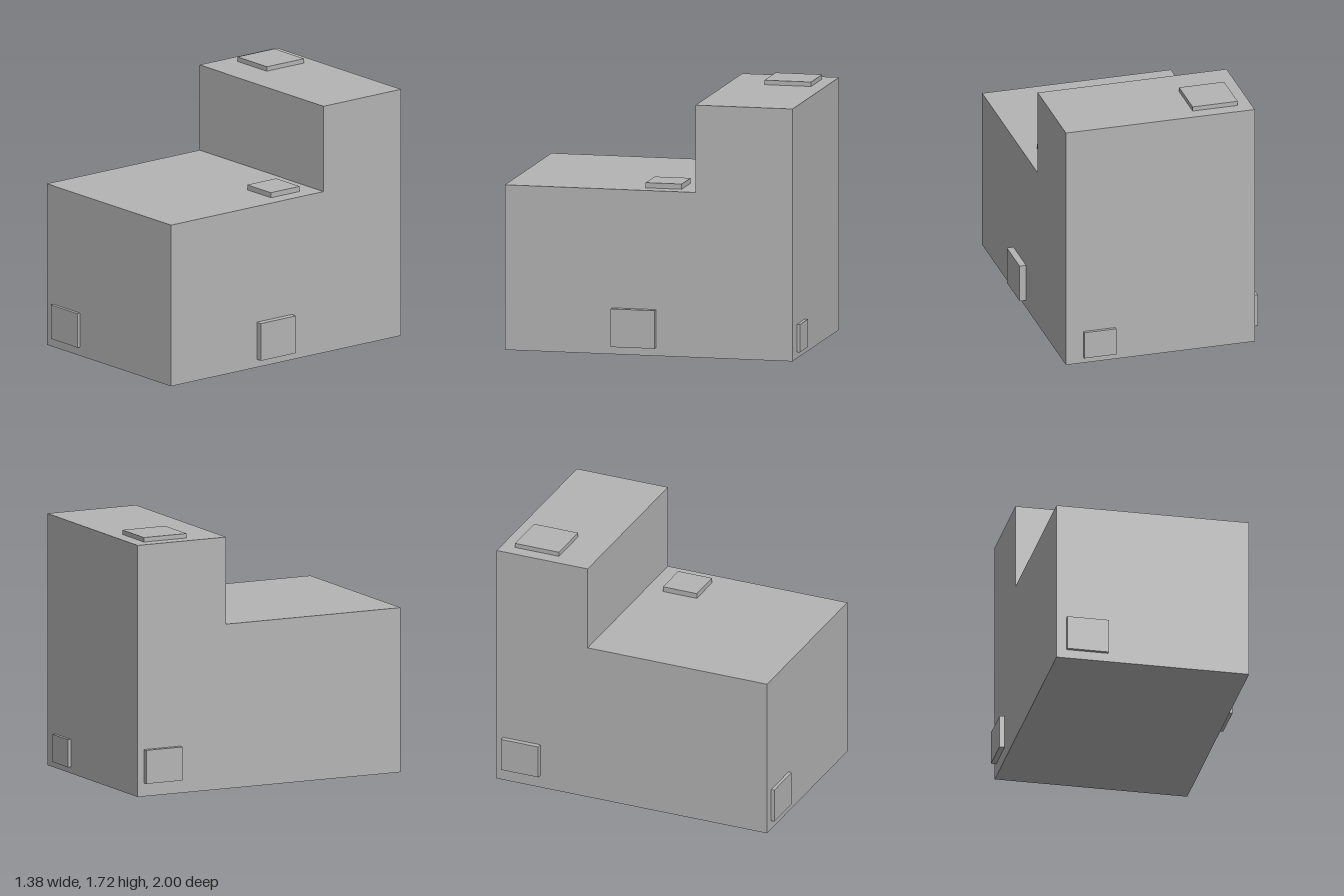
import * as THREE from 'three';

export function createModel() {
  const model = new THREE.Group();
  const grey = new THREE.MeshStandardMaterial({ color: 0xb4b4b4 });
  grey.name = 'plain grey';

  // Stepped body: side profile as [z, y], extruded across the width
  const left = -0.655, right = 0.645, front = 0.977, back = -0.978;
  const stepZ = -0.32, stepY = 1.105, topY = 1.69;
  const profile = [[front, 0], [back, 0], [back, topY], [stepZ, topY], [stepZ, stepY], [front, stepY]];
  const shape = new THREE.Shape(profile.map(([z, y]) => new THREE.Vector2(-z, y)));
  const bodyGeometry = new THREE.ExtrudeGeometry(shape, { depth: right - left, bevelEnabled: false });
  bodyGeometry.rotateY(Math.PI / 2).translate(left, 0, 0);
  const body = new THREE.Mesh(bodyGeometry, grey);
  body.name = 'steppedBody';
  model.add(body);

  // Raised rectangular pads, given by their minimum and maximum corners
  const addPad = (name, min, max) => {
    const size = max.map((v, i) => v - min[i]);
    const pad = new THREE.Mesh(new THREE.BoxGeometry(...size), grey);
    pad.position.set(...max.map((v, i) => (v + min[i]) / 2));
    pad.name = name;
    model.add(pad);
  };
  addPad('topPad', [-0.565, topY, -0.885], [-0.255, 1.72, -0.568]);
  addPad('stepPad', [0.295, stepY, -0.2], [0.543, 1.14, 0.045]);
  addPad('leftSidePad', [right, 0.055, -0.05], [0.69, 0.31, 0.248]);
  addPad('rightSidePad', [-0.69, 0.09, -0.932], [left, 0.315, -0.662]);
  addPad('frontPad', [-0.587, 0.06, front], [-0.307, 0.293, 1]);
  addPad('backPad', [0.305, 0.042, -1], [0.525, 0.228, back]);

  return model;
}
